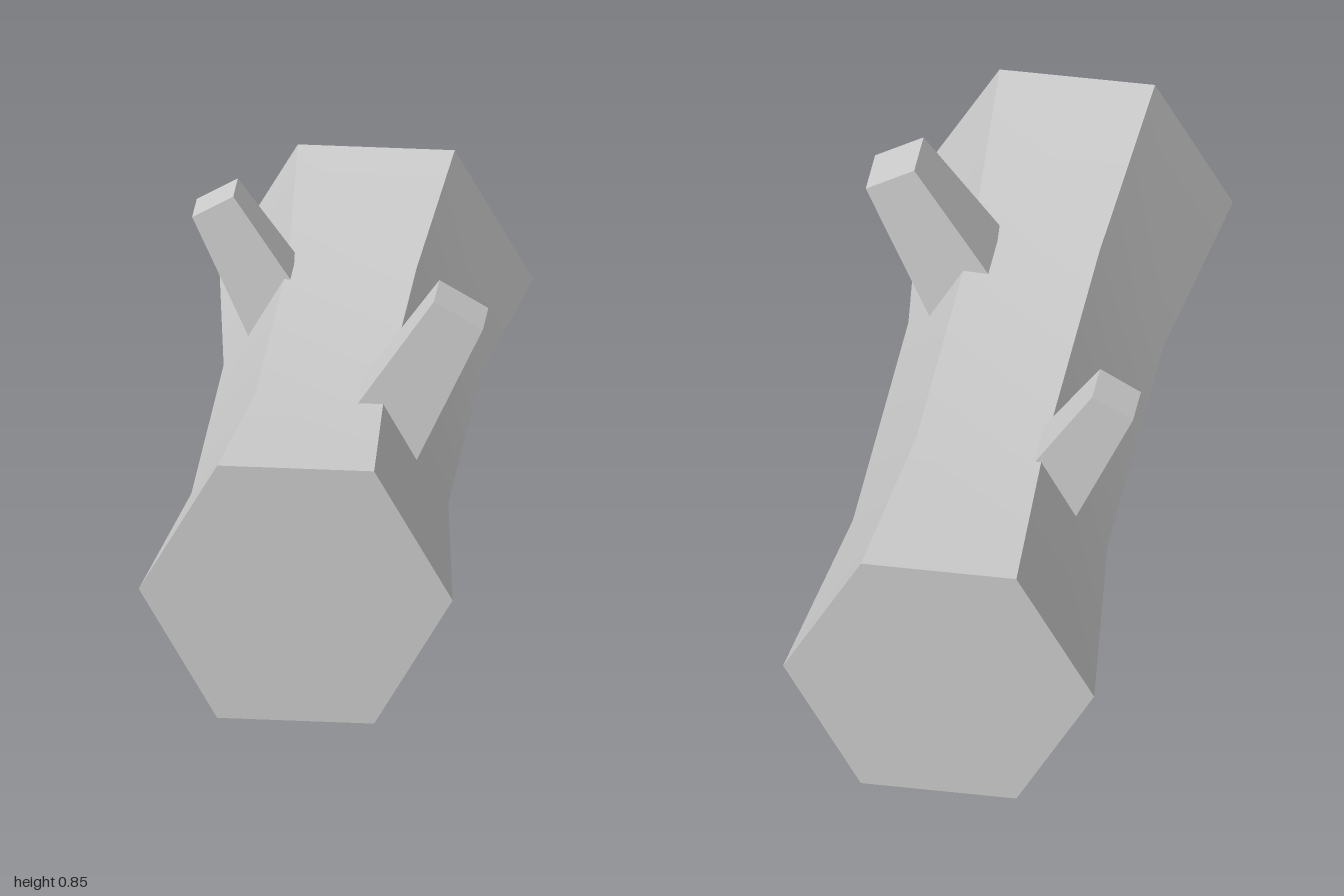
import * as THREE from 'three';
import { toCreasedNormals } from 'three/addons/utils/BufferGeometryUtils.js';

export function createModel() {
  const model = new THREE.Group();
  model.name = 'log';
  const wood = new THREE.MeshStandardMaterial({ color: 0xcccccc });
  wood.name = 'pale grey wood';

  function add(name, geometry) {
    const mesh = new THREE.Mesh(toCreasedNormals(geometry, 0.5), wood);
    mesh.name = name;
    model.add(mesh);
    return mesh;
  }

  // Six-sided trunk lying along z, pinched in the middle, with closed ends
  const profile = [[0, -1], [0.375, -1], [0.307, -0.4], [0.307, 0.4], [0.375, 1], [0, 1]]
    .map(([r, y]) => new THREE.Vector2(r, y));
  const trunk = new THREE.LatheGeometry(profile, 6, Math.PI / 6);
  trunk.rotateX(Math.PI / 2);
  add('trunk', trunk).position.set(-0.01, 0.325, 0);

  // Square tapered stub, placed by the centre of its cut end and sunk into the trunk
  function addStub(name, tip, halfWidth, length, tilt) {
    const baseHalf = halfWidth + length * 0.083;
    const g = new THREE.CylinderGeometry(halfWidth * Math.SQRT2, baseHalf * Math.SQRT2, length, 4);
    g.rotateY(Math.PI / 4);
    g.translate(0, -length / 2, 0);
    g.rotateZ(tilt);
    add(name, g).position.set(...tip);
  }
  addStub('leftBranchStub', [0.324, 0.821, 0.363], 0.0675, 0.55, -Math.PI / 6);
  addStub('rightBranchStub', [-0.336, 0.762, -0.383], 0.0567, 0.45, Math.PI / 6);

  return model;
}
